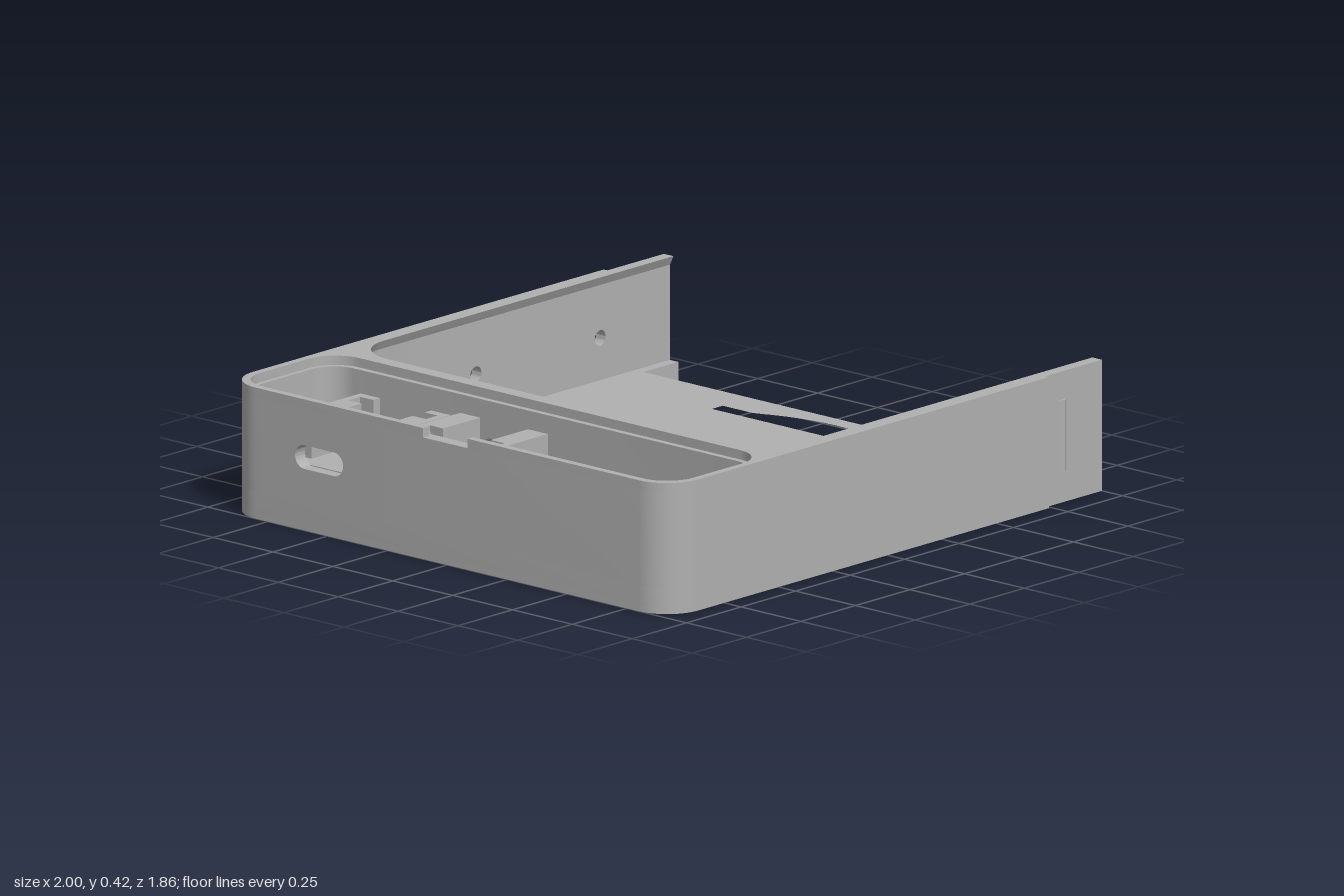
import * as THREE from 'three';
import { toCreasedNormals } from 'three/addons/utils/BufferGeometryUtils.js';

const PI = Math.PI;
const FLOOR = 0.085, LEDGE = 0.39, TOP = 0.42;

// Points of an arc in plan (x, z)
function arc(cx, cz, r, a0, a1, n = 12) {
  const pts = [];
  for (let i = 0; i <= n; i++) {
    const a = a0 + (a1 - a0) * i / n;
    pts.push([cx + r * Math.cos(a), cz + r * Math.sin(a)]);
  }
  return pts;
}
const toVectors = (pts) => pts.map(([x, z]) => new THREE.Vector2(x, -z));

// Extrude a plan outline upward from y0 to y1
function plan(pts, y0, y1, holes = []) {
  const shape = new THREE.Shape(toVectors(pts));
  for (const h of holes) shape.holes.push(new THREE.Path(toVectors(h)));
  const g = new THREE.ExtrudeGeometry(shape, { depth: y1 - y0, bevelEnabled: false });
  return g.rotateX(-PI / 2).translate(0, y0, 0);
}

// Upright panel with slots: [u, y, half straight length, radius]
function panel(u0, u1, thickness, slots) {
  const shape = new THREE.Shape([[u0, FLOOR], [u1, FLOOR], [u1, LEDGE], [u0, LEDGE]]
    .map(([u, y]) => new THREE.Vector2(u, y)));
  for (const [u, y, d, r] of slots) {
    const p = new THREE.Path();
    p.absarc(u + d, y, r, -PI / 2, PI / 2);
    p.absarc(u - d, y, r, PI / 2, 1.5 * PI);
    shape.holes.push(p);
  }
  return new THREE.ExtrudeGeometry(shape, { depth: thickness, bevelEnabled: false, curveSegments: 16 });
}

export function createModel() {
  const group = new THREE.Group();
  const grey = new THREE.MeshStandardMaterial({ color: 0xb0b0b0 });
  grey.name = 'matte grey';
  const add = (name, geometry) => {
    const m = new THREE.Mesh(toCreasedNormals(geometry, 0.5), grey);
    m.name = name;
    group.add(m);
  };
  const box = (name, x0, x1, y0, y1, z0, z1) => add(name,
    new THREE.BoxGeometry(x1 - x0, y1 - y0, z1 - z0)
      .translate((x0 + x1) / 2, (y0 + y1) / 2, (z0 + z1) / 2));

  // Corner arcs: outer shell, main tray and side compartment
  const outerBack = arc(-0.87, -0.8, 0.13, PI, 1.5 * PI);
  const outerFront = arc(-0.87, 0.8, 0.13, PI / 2, PI);
  const trayBack = (x, z, r) => arc(x + r, -z + r, r, 1.5 * PI, PI);
  const trayFront = (x, z, r) => arc(x + r, z - r, r, PI, PI / 2);
  const bayBack = (x0, x1, z, r) => [
    ...arc(x1 - r, -z + r, r, 0, -PI / 2), ...arc(x0 + r, -z + r, r, -PI / 2, -PI)];
  const bayFront = (x0, x1, z, r) => [
    ...arc(x1 - r, z - r, r, 0, PI / 2), ...arc(x0 + r, z - r, r, PI / 2, PI)];

  // Base plate and floor with a round recess that has square corners
  const base = [...outerBack, [0.74, -0.93], [0.74, -0.915], [0.84, -0.915],
    [0.84, 0.915], [0.74, 0.915], [0.74, 0.93], ...outerFront];
  const corner = Math.atan2(0.41, 0.56);
  const angles = [corner, PI - corner, PI + corner, 2 * PI - corner];
  for (let i = 0; i < 120; i++) angles.push(i * PI / 60);
  angles.sort((a, b) => a - b);
  const recess = angles.map((a) => {
    const c = Math.cos(a), s = Math.sin(a);
    const r = Math.max(0.625, Math.min(0.56 / Math.abs(c), 0.41 / Math.abs(s)));
    return [0.155 + r * c, r * s];
  });
  add('basePlate', plan(base, 0, 0.02));
  add('trayFloor', plan(base, 0.02, FLOOR, [recess]));
  add('recessDisc', new THREE.CylinderGeometry(0.515, 0.515, 0.03, 72).translate(0.155, 0.03, 0));

  // Raised strip beside the divider, cut by the round recess
  const cut = Math.acos(0.54 / 0.625);
  add('raisedStrip', plan([[-0.5, -0.39], [-0.385, -0.39],
    ...arc(0.155, 0, 0.625, PI + cut, PI - cut, 20), [-0.385, 0.475], [-0.5, 0.475]], FLOOR, 0.113));

  // Walls, leaving gaps for the panels with openings
  add('backCornerWall', plan([[-1, -0.75], ...outerBack, [0, -0.93], [0, -0.89],
    ...trayBack(-0.5, 0.89, 0.17), [-0.5, -0.35], [-0.55, -0.35],
    ...bayBack(-0.955, -0.55, 0.89, 0.09), [-0.955, -0.75]], FLOOR, LEDGE));
  add('frontWall', plan([[-1, -0.35], ...outerFront.slice().reverse(), [0.74, 0.93], [0.74, 0.915],
    [1, 0.915], [1, 0.89], ...trayFront(-0.5, 0.89, 0.17).reverse(), [-0.5, 0], [-0.55, 0],
    ...bayFront(-0.955, -0.55, 0.89, 0.09), [-0.955, -0.35]], FLOOR, LEDGE));
  add('backWallPanel', panel(0, 0.74, 0.04, [[0.11, 0.22, 0, 0.025], [0.68, 0.22, 0, 0.025]])
    .translate(0, 0, -0.93));
  box('backArm', 0.74, 1, FLOOR, LEDGE, -0.915, -0.89);
  add('portPanel', panel(0.35, 0.75, 0.045, [[0.535, 0.235, 0.062, 0.038]])
    .rotateY(PI / 2).translate(-1, 0, 0));
  add('dividerPanel', panel(0, 0.35, 0.05, [[0.167, 0.235, 0.062, 0.035]])
    .rotateY(PI / 2).translate(-0.55, 0, 0));

  // Top rim with a notch; its tray side is undercut for a sliding lid
  const rim = plan([[-1, 0.085], ...outerFront.slice().reverse(), [0.74, 0.93], [0.74, 0.915],
    [1, 0.915], [1, 0.875], ...trayFront(-0.48, 0.875, 0.15).reverse(),
    ...trayBack(-0.48, 0.875, 0.15).reverse(), [1, -0.875], [1, -0.915], [0.74, -0.915],
    [0.74, -0.93], ...outerBack.slice().reverse(), [-1, -0.1], [-0.975, -0.1],
    ...bayBack(-0.975, -0.53, 0.905, 0.11).reverse(),
    ...bayFront(-0.975, -0.53, 0.905, 0.11), [-0.975, 0.085]], LEDGE, TOP);
  const p = rim.attributes.position;
  for (let i = 0; i < p.count; i++) {
    const x = p.getX(i), z = p.getZ(i), az = Math.abs(z);
    if (p.getY(i) > 0.4 || x < -0.5 || az > 0.88) continue;
    if (x < -0.33) p.setX(i, -0.33 + (x + 0.33) * 0.17 / 0.15);
    if (az > 0.725) p.setZ(i, Math.sign(z) * (0.725 + (az - 0.725) * 0.165 / 0.15));
  }
  rim.computeVertexNormals();
  add('topRim', rim);

  // Arm feet and snap ridges
  for (const s of [-1, 1]) {
    const z = [0.855 * s, 0.915 * s].sort((a, b) => a - b);
    box('armFoot', 0.84, 1, 0, FLOOR, z[0], z[1]);
    add('snapRidge', plan([[0.8, 0.91 * s], [0.8, 0.915 * s], [0.818, 0.926 * s],
      [0.836, 0.915 * s], [0.836, 0.91 * s]], 0.1, 0.33));
  }

  // Connector holders: platform with two notched cheeks
  const holder = (name, px1, x0, x1, n0, n1, zc, half, inner) => {
    box(name + 'Platform', -0.96, px1, FLOOR, 0.2, zc - half, zc + half);
    for (const s of [-1, 1]) {
      const o = zc + s * half, i = zc + s * inner, n = zc + s * (inner + 0.055);
      add(name + 'Cheek', plan([[x0, o], [x1, o], [x1, i], [n1, i], [n1, n], [n0, n], [n0, i], [x0, i]],
        0.2, 0.33));
    }
  };
  holder('portHolder', -0.585, -0.905, -0.59, -0.675, -0.62, -0.547, 0.188, 0.107);
  holder('plugHolder', -0.549, -0.8, -0.549, -0.775, -0.72, -0.172, 0.183, 0.1);

  return group;
}
